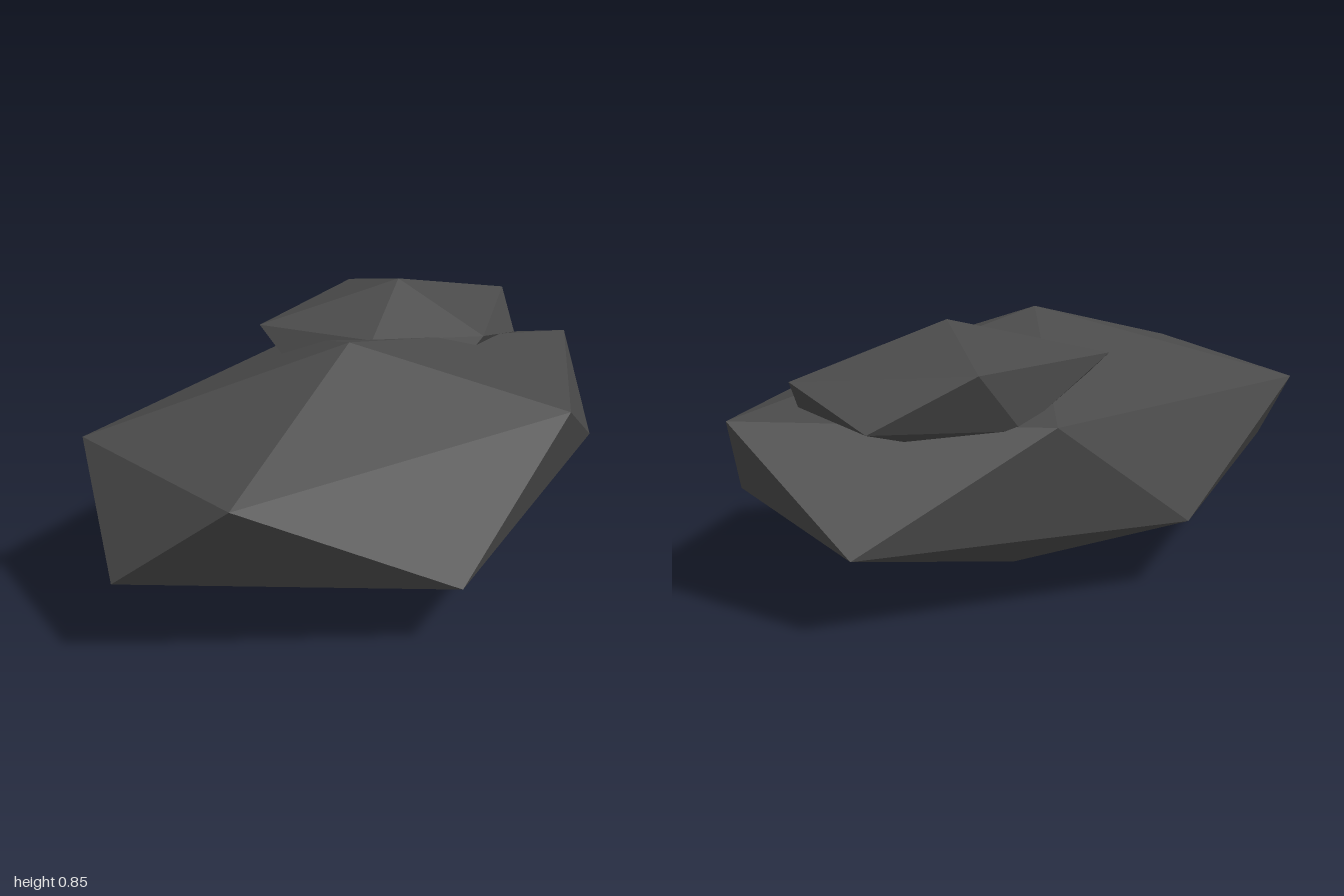
import * as THREE from 'three';

// A rough stone: two poles joined by an upper and a lower ring of five corners.
// Both rings run counterclockwise seen from above; lower[i] sits between upper[i] and upper[i + 1].
function makeRock(name, material, top, upper, lower, bottom) {
  const corners = [];
  const face = (...points) => points.forEach((p) => corners.push(...p));
  for (let i = 0; i < 5; i++) {
    const j = (i + 1) % 5;
    face(top, upper[i], upper[j]);
    face(upper[i], lower[i], upper[j]);
    face(lower[i], lower[j], upper[j]);
    face(bottom, lower[j], lower[i]);
  }
  const geometry = new THREE.BufferGeometry();
  geometry.setAttribute('position', new THREE.Float32BufferAttribute(corners, 3));
  geometry.computeVertexNormals();
  const mesh = new THREE.Mesh(geometry, material);
  mesh.name = name;
  return mesh;
}

export function createModel() {
  const group = new THREE.Group();
  group.name = 'rocks';
  const stone = new THREE.MeshStandardMaterial({ color: 0x4a4a4a, flatShading: true });
  stone.name = 'dark stone';

  // Wide boulder
  group.add(makeRock('largeRock', stone,
    [-0.09, 0.81, 0.02],
    [[-0.87, 0.6, 0.31], [0.39, 0.575, 0.53], [1, 0.565, 0.04], [0.27, 0.57, -0.6], [-0.79, 0.575, -0.44]],
    [[-0.23, 0.22, 0.62], [0.84, 0.285, 0.29], [0.87, 0.24, -0.45], [-0.21, 0.22, -0.62], [-1, 0.285, -0.07]],
    [0.06, 0, -0.08]));

  // Small stone sunk into its back left shoulder
  group.add(makeRock('smallRock', stone,
    [0.4, 0.845, -0.22],
    [[-0.03, 0.735, -0.45], [0.11, 0.738, -0.07], [0.47, 0.7, 0.1], [0.9, 0.705, -0.17], [0.51, 0.74, -0.555]],
    [[-0.03, 0.6, -0.27], [0.33, 0.575, 0.07], [0.8, 0.595, -0.03], [0.79, 0.58, -0.41], [0.34, 0.555, -0.52]],
    [0.42, 0.46, -0.25]));

  return group;
}
